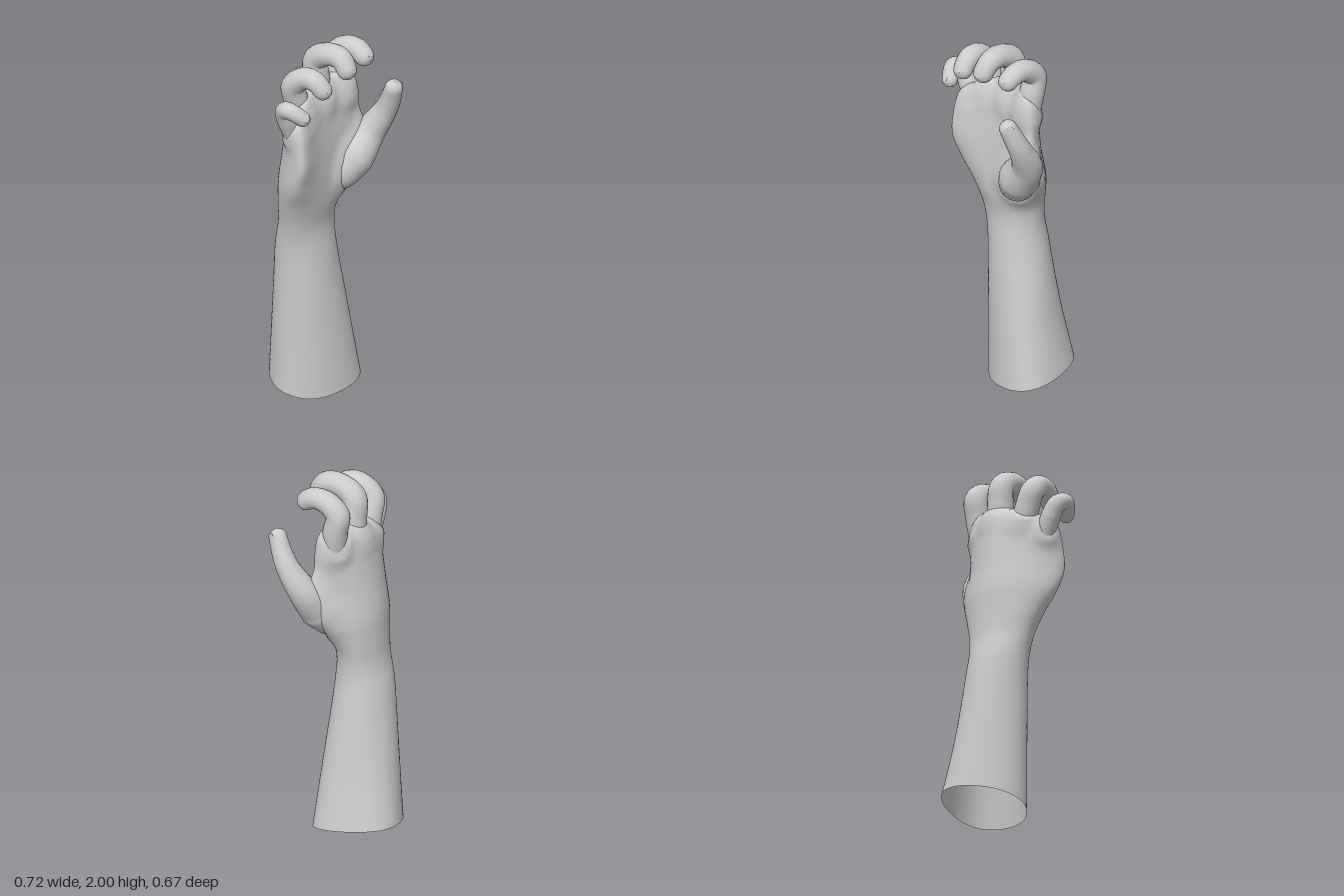
import * as THREE from 'three';

const material = new THREE.MeshStandardMaterial({ color: 0xcccccc, side: THREE.DoubleSide });

// Joins rows x cols points into a smooth skin that wraps around; point(i, j) gives [x, y, z].
function skin(name, rows, cols, point) {
  const pos = [], index = [];
  for (let i = 0; i <= rows; i++)
    for (let j = 0; j < cols; j++) {
      pos.push(...point(i, j / cols * Math.PI * 2));
      if (i === rows) continue;
      const a = i * cols + j, b = i * cols + (j + 1) % cols;
      index.push(a, a + cols, b, b, a + cols, b + cols);
    }
  const g = new THREE.BufferGeometry();
  g.setAttribute('position', new THREE.Float32BufferAttribute(pos, 3));
  g.setIndex(index);
  g.computeVertexNormals();
  const mesh = new THREE.Mesh(g, material);
  mesh.name = name;
  return mesh;
}

// Joints of each limb: [x, y, z, radius]
const FINGERS = {
  indexFinger: [
    [0.055, 1.64, -0.075, 0.064], [0.057, 1.76, -0.095, 0.066],
    [0.05, 1.86, -0.108, 0.063], [0.095, 1.92, -0.05, 0.059], [0.14, 1.92, 0.01, 0.056], [0.18, 1.862, 0.075, 0.049]],
  middleFinger: [
    [-0.072, 1.64, -0.015, 0.068], [-0.08, 1.77, -0.015, 0.07],
    [-0.085, 1.89, -0.008, 0.065], [-0.035, 1.94, 0.06, 0.061], [0.015, 1.935, 0.12, 0.058], [0.05, 1.84, 0.18, 0.05]],
  ringFinger: [
    [-0.188, 1.6, 0.07, 0.062], [-0.218, 1.72, 0.088, 0.065],
    [-0.238, 1.81, 0.11, 0.062], [-0.19, 1.87, 0.165, 0.058], [-0.145, 1.865, 0.215, 0.055], [-0.09, 1.785, 0.262, 0.047]],
  littleFinger: [
    [-0.25, 1.55, 0.17, 0.05], [-0.29, 1.65, 0.193, 0.053],
    [-0.315, 1.72, 0.22, 0.047], [-0.305, 1.745, 0.265, 0.045], [-0.265, 1.725, 0.288, 0.043], [-0.205, 1.675, 0.3, 0.039]],
  thumb: [
    [-0.02, 1.15, -0.06, 0.06], [0.045, 1.22, -0.025, 0.098], [0.12, 1.3, -0.025, 0.11],
    [0.215, 1.42, -0.05, 0.082], [0.285, 1.55, -0.01, 0.062], [0.305, 1.63, 0.025, 0.055], [0.316, 1.75, 0.08, 0.044]],
};

// Centre line of a limb and its radius along the way, 0 to 1.
function limb(joints) {
  const curve = new THREE.CatmullRomCurve3(joints.map(([x, y, z]) => new THREE.Vector3(x, y, z)));
  const radius = (u) => {
    const s = curve.getUtoTmapping(u) * (joints.length - 1);
    const k = Math.min(Math.floor(s), joints.length - 2);
    return THREE.MathUtils.lerp(joints[k][3], joints[k + 1][3], s - k);
  };
  return { curve, radius };
}

// Balls along every limb, used to raise the palm where the limbs grow out of it.
const BALLS = Object.values(FINGERS).flatMap((joints) => {
  const { curve, radius } = limb(joints);
  return Array.from({ length: 29 }, (_, i) => ({ centre: curve.getPointAt(i / 28), r: radius(i / 28) }));
});

// Forearm and palm: turned ovals. y, centre x, centre z, half width, half depth, turn, cupping, tilt
const SECTIONS = [
  [0.05, -0.07, -0.113, 0.237, 0.217, 0, 0, 0],
  [0.40, -0.098, -0.083, 0.203, 0.187, 0.1, 0, 0],
  [0.80, -0.128, -0.048, 0.17, 0.152, 0.5, 0, 0],
  [0.98, -0.132, -0.026, 0.175, 0.13, 0.72, 0, 0],
  [1.12, -0.122, -0.004, 0.212, 0.137, 0.75, 0.01, 0],
  [1.25, -0.105, 0.02, 0.26, 0.137, 0.75, 0.06, 0],
  [1.40, -0.088, 0.046, 0.276, 0.123, 0.74, 0.11, 0.05],
  [1.55, -0.085, 0.046, 0.27, 0.107, 0.72, 0.11, 0.1],
  [1.64, -0.088, 0.04, 0.25, 0.096, 0.69, 0.1, 0.16],
  [1.70, -0.09, 0.035, 0.212, 0.076, 0.69, 0.08, 0.22],
  [1.73, -0.09, 0.035, 0.14, 0.04, 0.69, 0.04, 0.22],
  [1.735, -0.09, 0.035, 0.001, 0.001, 0.69, 0, 0.22],
];

function forearmAndPalm() {
  const last = SECTIONS.length - 1, steps = 7, reach = 0.07;
  const blend = new THREE.CubicInterpolant(SECTIONS.map((s, i) => i), SECTIONS.flat(), 8, new Float32Array(8));
  const up = new THREE.Vector3(0, 1, 0);
  return skin('forearmAndPalm', last * steps, 64, (i, angle) => {
    const [y, cx, cz, a, b, turn, cup, tilt] = blend.evaluate(i / steps);
    const u = a * Math.cos(angle);
    const v = b * Math.sin(angle) + cup * (Math.cos(angle) ** 2 - 0.5);
    const p = new THREE.Vector3(u, tilt * u, v).applyAxisAngle(up, turn).add(new THREE.Vector3(cx, y, cz));
    // the forearm is flatter at its inner back and fuller at its outer front
    const low = Math.max(0, 1 - y / 0.8);
    const shift = 0.02 * low * Math.sin(2 * angle);
    p.x += shift;
    p.z -= shift;
    // the cut end curves down towards the front
    const back = THREE.MathUtils.clamp((0.104 - p.z) / 0.434, 0, 1);
    p.y += (0.1 * back ** 0.7 - 0.05) * Math.max(0, 1 - y / 0.35) * 1.16;
    // fillets at the roots of the fingers and thumb
    const gap = Math.min(...BALLS.map(({ centre, r }) => centre.distanceTo(p) - r));
    const lift = 0.35 * reach * THREE.MathUtils.clamp(1 - gap / reach, 0, 1) ** 2;
    const out = new THREE.Vector3(b * Math.cos(angle), 0, a * Math.sin(angle)).normalize().applyAxisAngle(up, turn);
    out.lerp(up, THREE.MathUtils.smoothstep(y, 1.66, 1.73));
    return p.addScaledVector(out, lift).toArray();
  });
}

// A round limb with a domed tip.
function digit(name, joints) {
  const { curve, radius } = limb(joints);
  const rows = 56, length = curve.getLength(), frames = curve.computeFrenetFrames(rows);
  return skin(name, rows, 20, (i, angle) => {
    let r = radius(i / rows);
    const left = length * (1 - i / rows);
    if (left < r) r *= Math.sqrt(Math.max(0, 1 - (1 - left / r) ** 2));
    return curve.getPointAt(i / rows)
      .addScaledVector(frames.normals[i], r * Math.cos(angle))
      .addScaledVector(frames.binormals[i], -r * Math.sin(angle)).toArray();
  });
}

// A thin oval nail on the outer side of the last bend.
function nail(name, joints) {
  const [a, b, c] = joints.slice(-3).map(([x, y, z]) => new THREE.Vector3(x, y, z));
  const r = joints.at(-1)[3];
  const along = c.clone().sub(b).normalize();
  const out = b.clone().sub(a).normalize();
  out.addScaledVector(along, -out.dot(along)).normalize();
  const across = new THREE.Vector3().crossVectors(along, out);
  const mesh = new THREE.Mesh(new THREE.SphereGeometry(1, 16, 10), material);
  mesh.name = name;
  mesh.scale.set(r * 0.6, r * 0.75, r * 0.16);
  mesh.quaternion.setFromRotationMatrix(new THREE.Matrix4().makeBasis(across, along, out));
  mesh.position.copy(c).addScaledVector(along, -r * 1.1).addScaledVector(out, r * 0.9);
  return mesh;
}

export function createModel() {
  const hand = new THREE.Group();
  hand.name = 'hand';
  hand.add(forearmAndPalm());
  for (const [name, joints] of Object.entries(FINGERS)) {
    const group = new THREE.Group();
    group.name = name;
    group.add(digit(name + 'Flesh', joints), nail(name + 'Nail', joints));
    hand.add(group);
  }
  // Skin fold between thumb and index finger
  hand.add(digit('thumbWeb', [[0.04, 1.27, -0.07, 0.06], [0.09, 1.36, -0.07, 0.07], [0.14, 1.45, -0.065, 0.05]]));
  return hand;
}
